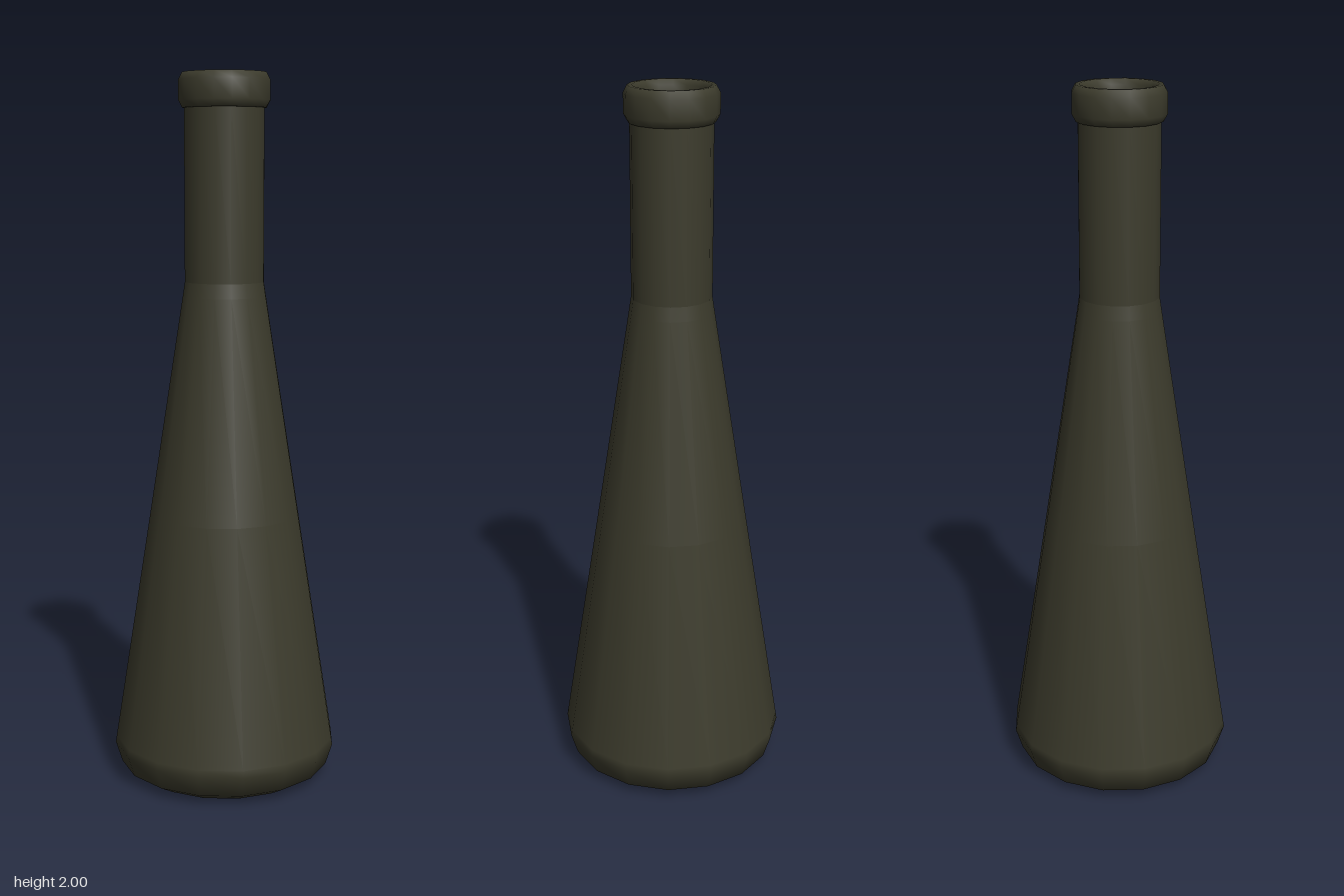
import * as THREE from 'three';

const SIDES = 16;

// Revolve a list of [radius, height] points around the y axis
function revolve(name, profile, material) {
  const points = profile.map(([r, y]) => new THREE.Vector2(r, y));
  const mesh = new THREE.Mesh(new THREE.LatheGeometry(points, SIDES), material);
  mesh.name = name;
  return mesh;
}

export function createModel() {
  const group = new THREE.Group();
  group.name = 'bottle';
  const glass = new THREE.MeshStandardMaterial({ color: 0x3c3b2c });

  // Flat base with a rounded heel
  group.add(revolve('base', [[0, 0], [0.25, 0], [0.303, 0.03], [0.322, 0.09], [0.319, 0.11]], glass));

  // Long tapering body running into the straight neck
  group.add(revolve('body', [[0.319, 0.11], [0.215, 0.77], [0.118, 1.39], [0.112, 1.43]], glass));
  group.add(revolve('neck', [[0.112, 1.43], [0.112, 1.91]], glass));

  // Rounded collar around the mouth
  group.add(revolve('collar', [
    [0.11, 1.905], [0.117, 1.905], [0.128, 1.925], [0.128, 1.98],
    [0.117, 2], [0.105, 2], [0.096, 1.985], [0.096, 1.95],
  ], glass));

  // Recessed floor of the mouth
  const floor = new THREE.Mesh(new THREE.CircleGeometry(0.097, SIDES), glass);
  floor.name = 'mouthFloor';
  floor.rotation.x = -Math.PI / 2;
  floor.position.y = 1.95;
  group.add(floor);

  return group;
}
